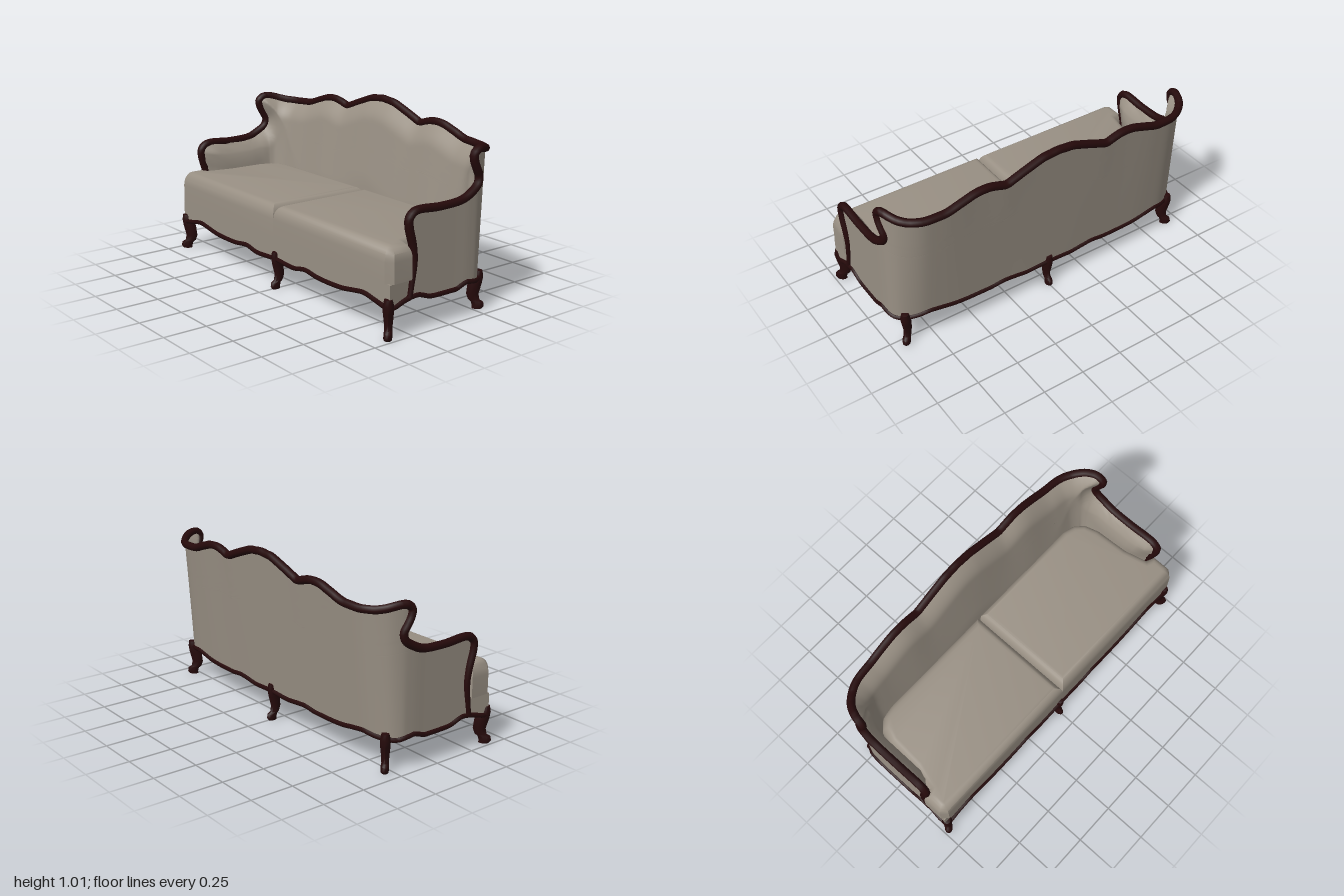
import * as THREE from 'three';
import { toCreasedNormals } from 'three/addons/utils/BufferGeometryUtils.js';

const fabric = new THREE.MeshStandardMaterial({ color: 0x999084, side: THREE.DoubleSide });
fabric.name = 'taupe fabric';
const wood = new THREE.MeshStandardMaterial({ color: 0x260a0b });
wood.name = 'dark mahogany';

const V = (x, y, z) => new THREE.Vector3(x, y, z);
const clamp = THREE.MathUtils.clamp;

// Piecewise linear lookup in [[key, value], ...] with rising keys
function lookup(table, k) {
  if (k <= table[0][0]) return table[0][1];
  for (let i = 1; i < table.length; i++) {
    const [k0, v0] = table[i - 1], [k1, v1] = table[i];
    if (k <= k1) return v0 + (v1 - v0) * (k - k0) / (k1 - k0);
  }
  return table[table.length - 1][1];
}

// Surface through a grid of points
function grid(rows, cols, point) {
  const pos = [], index = [];
  for (let i = 0; i <= rows; i++) {
    for (let j = 0; j <= cols; j++) pos.push(...point(i, j).toArray());
  }
  for (let i = 0; i < rows; i++) {
    for (let j = 0; j < cols; j++) {
      const a = i * (cols + 1) + j, b = a + 1, c = a + cols + 1, d = c + 1;
      index.push(a, c, b, b, c, d);
    }
  }
  const geo = new THREE.BufferGeometry();
  geo.setAttribute('position', new THREE.Float32BufferAttribute(pos, 3));
  geo.setIndex(index);
  geo.computeVertexNormals();
  return geo;
}

// Half plan of the wrap-around back, from the centre to the arm front
const plan = new THREE.CatmullRomCurve3([
  V(0, 0, -0.395), V(0.35, 0, -0.39), V(0.7, 0, -0.382), V(0.83, 0, -0.362),
  V(0.92, 0, -0.3), V(0.957, 0, -0.23), V(0.967, 0, -0.16), V(0.967, 0, -0.05), V(0.967, 0, 0.3),
]);

// Serpentine crest by x, lower edge by x (front and back) and by z (sides)
const crest = [[0, 0.992], [0.1, 0.982], [0.22, 0.94], [0.32, 0.902], [0.43, 0.93], [0.5, 0.93],
  [0.6, 0.9], [0.68, 0.872], [0.8, 0.865], [0.88, 0.868], [0.92, 0.878], [0.955, 0.895]];
const lowerX = [[0, 0.175], [0.18, 0.168], [0.28, 0.185], [0.4, 0.172], [0.6, 0.175],
  [0.7, 0.19], [0.78, 0.2], [0.87, 0.185], [0.95, 0.176]];
const lowerZ = [[-0.25, 0.178], [-0.14, 0.195], [-0.07, 0.17], [0.1, 0.17], [0.2, 0.2],
  [0.3, 0.185], [0.36, 0.168]];
// Front edge of arm and wing: [height, z]
const edge = [[0.19, 0.25], [0.26, 0.238], [0.38, 0.225], [0.46, 0.235], [0.57, 0.262], [0.61, 0.26],
  [0.638, 0.225], [0.643, 0.05], [0.648, -0.09], [0.665, -0.15], [0.71, -0.212], [0.75, -0.222],
  [0.79, -0.2], [0.83, -0.18], [0.87, -0.175], [0.895, -0.21]];

function uAtZ(z) {
  let lo = 0, hi = 1;
  for (let i = 0; i < 30; i++) {
    const mid = (lo + hi) / 2;
    if (plan.getPoint(mid).z < z) lo = mid; else hi = mid;
  }
  return lo;
}

// Point on the outer shell: u along the plan, level from 0.19 to 0.895
function shell(u, level) {
  const p = plan.getPoint(u), v = (level - 0.19) / 0.705;
  const low = p.z > -0.25 ? lookup(lowerZ, p.z) : lookup(lowerX, p.x);
  const y = low + v * (lookup(crest, p.x) - low);
  const lean = 0.06 * (1 - v) * clamp((-0.2 - p.z) / 0.19, 0, 1);
  return V(p.x, y, p.z + lean);
}

const mirrorX = (p) => V(-p.x, p.y, p.z);

export function createModel() {
  const model = new THREE.Group();
  const add = (name, geo, mat) => {
    const mesh = new THREE.Mesh(geo, mat);
    mesh.name = name;
    model.add(mesh);
    return mesh;
  };

  // Carved rail over the crest, round the wings and down the arm fronts
  const half = [];
  const uTip = uAtZ(-0.21);
  for (let i = 0; i < 40; i++) half.push(shell(uTip * i / 40, 0.895));
  for (const [y, z] of [...edge].reverse()) half.push(shell(uAtZ(z), y));
  const railCurve = new THREE.CatmullRomCurve3([...half.slice(1).reverse().map(mirrorX), ...half]);
  const rail = new THREE.TubeGeometry(railCurve, 300, 0.023, 8);
  // The rail tapers towards the foot of each arm
  const ring = rail.attributes.position;
  for (let i = 0; i < ring.count; i++) {
    const c = railCurve.getPointAt(Math.floor(i / 9) / 300);
    const p = V().fromBufferAttribute(ring, i).sub(c);
    p.multiplyScalar(clamp(0.65 + (c.y - 0.25) * 1.4, 0.65, 1)).add(c);
    ring.setXYZ(i, p.x, p.y, p.z);
  }
  add('topRail', rail, wood);
  const railPoints = new THREE.CatmullRomCurve3(half).getPoints(250);

  // Upholstered shell: flat outside and padded inside
  const levels = [];
  for (let i = 0; i < edge.length - 1; i++) {
    for (let k = 0; k < 3; k++) levels.push(edge[i][0] + (edge[i + 1][0] - edge[i][0]) * k / 3);
  }
  levels.push(0.895);
  const N = 56;
  function upholstery(rows, padded) {
    const fronts = rows.map((y) => uAtZ(lookup(edge, y)));
    return grid(rows.length - 1, 2 * N, (i, j) => {
      const t = (j - N) / N;
      const u = Math.abs(t) * fronts[i];
      const p = shell(u, rows[i]);
      if (padded) {
        const d = Math.min(...railPoints.map((q) => q.distanceTo(p)));
        const k = Math.min(1, d / 0.12);
        const pad = 0.065 * k * (2 - k) + 0.045 * Math.min(1, d / 0.45);
        const tan = plan.getTangent(u);
        p.x = Math.max(0, p.x - tan.z * pad * (u > 0 ? 1 : 0));
        p.z += tan.x * pad;
      }
      return t < 0 ? mirrorX(p) : p;
    });
  }
  add('outerBackAndArms', upholstery(levels, false), fabric);
  add('innerBackAndArms', upholstery(levels.filter((y) => y > 0.25), true), fabric);

  // Front apron wrapping round to the arms, with a lip folded in under the cushions
  const apron = grid(2, 40, (i, j) => {
    const a = (j - 20) / 20, side = Math.max(0, Math.abs(a) - 0.85) / 0.15;
    const x = (0.978 - 0.02 * side) * clamp(a / 0.85, -1, 1), z = 0.388 - side * 0.15;
    if (i === 0) return V(x * 0.94, 0.291, Math.min(z, 0.34));
    const low = side > 0.01 ? lookup(lowerZ, z) : lookup(lowerX, Math.abs(x));
    return V(x, i === 1 ? 0.291 : low, z);
  });
  add('frontApron', toCreasedNormals(apron, 0.6), fabric);

  // Scalloped rail round the lower edge
  const loop = [];
  const uArm = uAtZ(0.28);
  for (let i = 0; i <= 36; i++) loop.push(shell(uArm * i / 36, 0.19));
  loop.push(V(0.972, 0.168, 0.36), V(0.962, 0.17, 0.387));
  for (const [x, y] of [...lowerX].reverse().slice(1)) loop.push(V(x, y, 0.389));
  const loopCurve = new THREE.CatmullRomCurve3(
    [...loop, ...loop.slice(1, -1).reverse().map(mirrorX)], true);
  add('bottomRail', new THREE.TubeGeometry(loopCurve, 300, 0.014, 6, true), wood);

  // Two T-shaped seat cushions, flat below and rounded above
  for (const s of [1, -1]) {
    const outline = [[0, 0.4], [0.95, 0.402], [0.985, 0.367], [0.985, 0.25], [0.935, 0.23],
      [0.905, 0.1], [0.893, -0.1], [0.865, -0.19], [0.81, -0.24], [0.73, -0.26], [0, -0.26]];
    const shape = new THREE.Shape(outline.map(([x, z]) => new THREE.Vector2(s * x, -z)));
    const geo = new THREE.ExtrudeGeometry(shape, {
      depth: 0.112, bevelEnabled: true, bevelThickness: 0.08, bevelSize: 0.052,
      bevelOffset: -0.052, bevelSegments: 6,
    });
    geo.rotateX(-Math.PI / 2);
    const pos = geo.attributes.position;
    for (let i = 0; i < pos.count; i++) pos.setY(i, Math.max(0, pos.getY(i)));
    geo.translate(0, 0.293, 0);
    add(s > 0 ? 'leftSeatCushion' : 'rightSeatCushion', toCreasedNormals(geo, 0.75), fabric);
  }

  // Cabriole legs: [height, outward shift, half width, half depth]
  const sections = [[0.218, 0, 0, 0], [0.214, 0, 0.019, 0.021], [0.18, -0.002, 0.026, 0.028],
    [0.14, -0.014, 0.025, 0.034], [0.08, -0.024, 0.02, 0.03], [0.048, -0.016, 0.018, 0.028],
    [0.036, 0, 0.02, 0.03], [0.012, 0.005, 0.02, 0.029], [0, 0, 0.018, 0.026], [0, 0, 0, 0]];
  const legGeo = toCreasedNormals(grid(sections.length - 1, 10, (i, j) => {
    const [y, out, w, d] = sections[i], a = j / 10 * Math.PI * 2;
    return V(Math.sin(a) * w, y, out + Math.cos(a) * d);
  }), 0.8);
  function leg(name, x, z, angle, size) {
    const mesh = add(name, legGeo, wood);
    mesh.position.set(x, 0, z);
    mesh.rotation.y = angle;
    mesh.scale.set(size, 1, size);
  }
  leg('frontCentreLeg', 0, 0.386, 0, 1);
  leg('backCentreLeg', 0, -0.333, Math.PI, 1);
  for (const s of [1, -1]) {
    const side = s > 0 ? 'Left' : 'Right';
    leg('front' + side + 'Leg', s * 0.96, 0.383, s * Math.PI / 4, 1.15);
    leg('back' + side + 'Leg', s * 0.912, -0.285, s * Math.PI * 0.75, 1.1);
  }
  return model;
}
